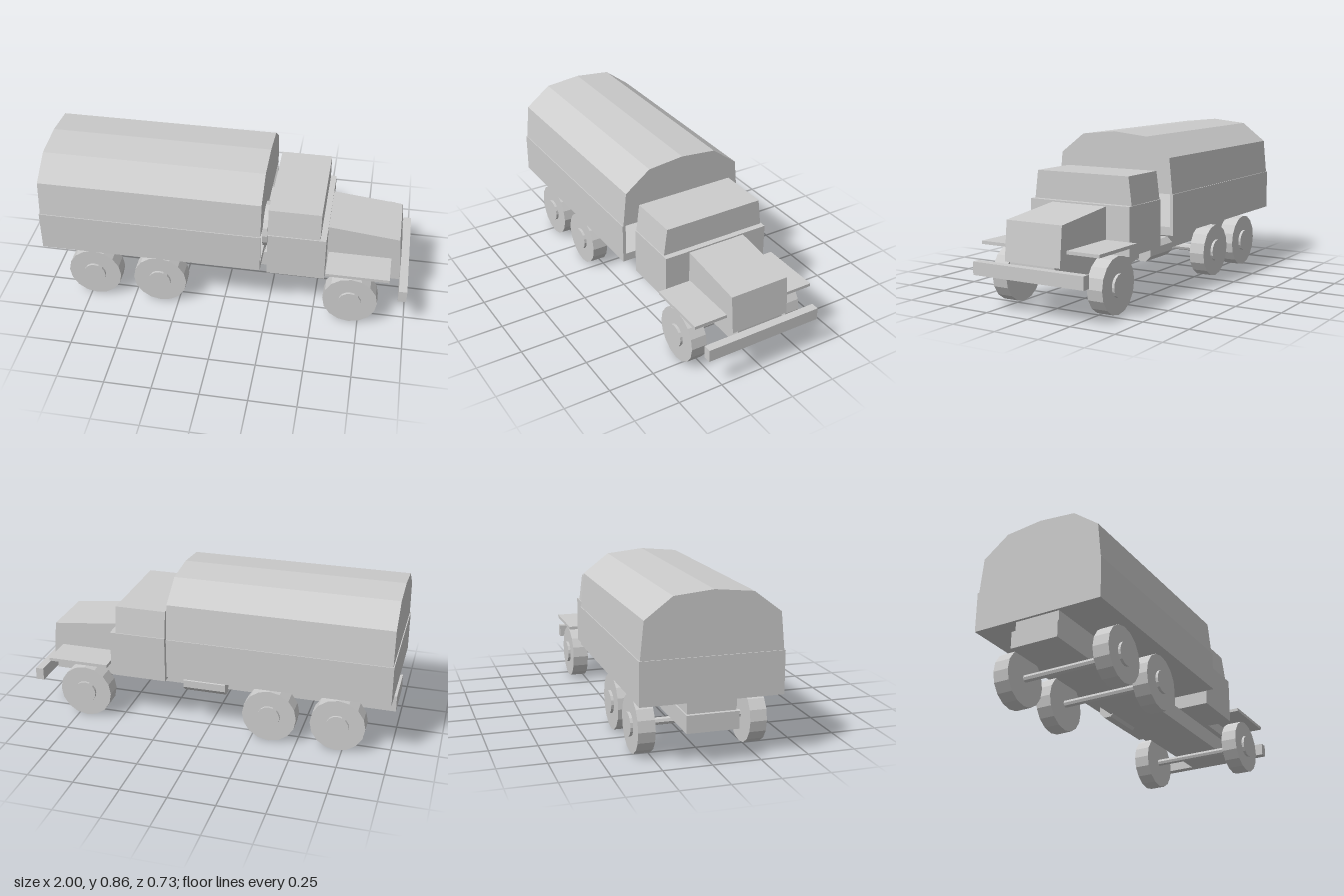
import * as THREE from 'three';

export function createModel() {
  const truck = new THREE.Group();
  truck.name = 'coveredTruck';
  const grey = new THREE.MeshStandardMaterial({ color: 0xcccccc, flatShading: true });
  grey.name = 'plain grey';

  const add = (name, geometry, parent = truck) => {
    const mesh = new THREE.Mesh(geometry, grey);
    mesh.name = name;
    parent.add(mesh);
    return mesh;
  };
  // Box given by its lower and upper limits on each axis
  const box = (name, x0, x1, y0, y1, z0, z1) =>
    add(name, new THREE.BoxGeometry(x1 - x0, y1 - y0, z1 - z0)
      .translate((x0 + x1) / 2, (y0 + y1) / 2, (z0 + z1) / 2));
  const extrude = (points, depth) => new THREE.ExtrudeGeometry(
    new THREE.Shape(points.map(([a, b]) => new THREE.Vector2(a, b))),
    { depth, bevelEnabled: false });
  // Cross-section in z and y, mirrored and swept along the truck
  const sweepX = (name, half, x0, x1) => {
    const mirrored = half.map(([z, y]) => [-z, y]).reverse();
    add(name, extrude([...half, ...mirrored], x1 - x0).rotateY(Math.PI / 2).translate(x0, 0, 0));
  };

  // Chassis
  box('chassisFrame', -1, 0.955, 0.17, 0.26, -0.133, 0.133);
  box('subframe', -0.98, 0.205, 0.26, 0.32, -0.125, 0.125);
  box('bumper', 0.955, 1, 0.182, 0.25, -0.33, 0.33);

  // Load bed, open towards the cab
  box('bedFloor', -0.995, 0.21, 0.32, 0.365, -0.363, 0.363);
  box('tailgate', -0.995, -0.975, 0.365, 0.54, -0.363, 0.363);
  for (const s of [-1, 1]) {
    box('bedSide', -0.975, 0.21, 0.365, 0.54,
      Math.min(s * 0.345, s * 0.363), Math.max(s * 0.345, s * 0.363));
  }

  // Canvas cover
  sweepX('canvasCover', [[0.358, 0.54], [0.339, 0.73], [0.199, 0.836], [0.001, 0.856]], -0.99, 0.21);

  // Cab and bonnet
  box('cabBody', 0.24, 0.552, 0.26, 0.514, -0.304, 0.304);
  sweepX('cabRoof', [[0.298, 0.514], [0.279, 0.662]], 0.24, 0.52);
  add('bonnet', extrude([[0.55, 0.26], [0.956, 0.26], [0.936, 0.465], [0.55, 0.506]], 0.33)
    .translate(0, 0, -0.165));
  for (const s of [-1, 1]) {
    box('fender', 0.56, 0.9, 0.32, 0.337, s > 0 ? 0.165 : -0.352, s > 0 ? 0.352 : -0.165);
  }

  // Spare wheel behind the cab
  add('spareWheel', new THREE.CylinderGeometry(0.122, 0.122, 0.028, 16)
    .rotateZ(Math.PI / 2).translate(0.222, 0.488, 0.16));

  // Side tank, eight sided with a flat top
  add('fuelTank', new THREE.CylinderGeometry(0.054, 0.054, 0.24, 8)
    .rotateY(Math.PI / 8).rotateZ(Math.PI / 2).translate(0.05, 0.206, -0.153));

  // Wheels, hubs and axles
  for (const x of [-0.72, -0.35, 0.7]) {
    const axleSet = new THREE.Group();
    axleSet.name = 'wheelPair';
    axleSet.position.set(x, 0.148, 0);
    truck.add(axleSet);
    const disc = (name, r, length, z, sides) => add(name,
      new THREE.CylinderGeometry(r, r, length, sides)
        .rotateY(Math.PI / 2).rotateX(Math.PI / 2).translate(0, 0, z), axleSet);
    disc('axle', 0.02, 0.5, 0, 8);
    for (const s of [-1, 1]) {
      disc('tyre', 0.148, 0.088, s * 0.288, 16);
      disc('hub', 0.061, 0.03, s * 0.331, 16);
    }
  }
  return truck;
}
